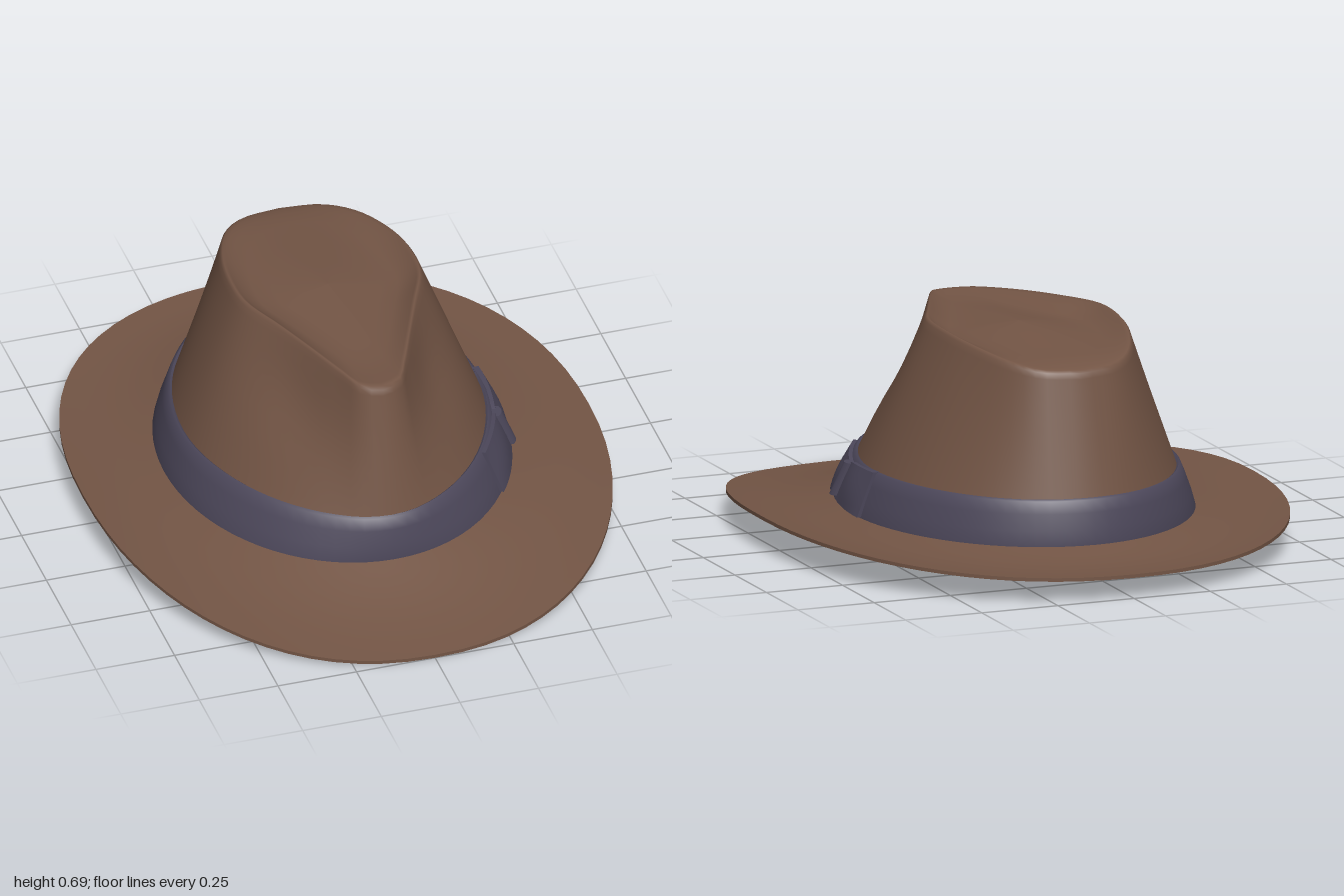
import * as THREE from 'three';
import { toCreasedNormals } from 'three/addons/utils/BufferGeometryUtils.js';

const SEG = 72;
const V = (x, y, z) => new THREE.Vector3(x, y, z);

// Half outline of the teardrop crown top, from the front tip to the back
const topHalf = new THREE.CatmullRomCurve3([
  [0, 0.475], [0.06, 0.455], [0.1, 0.38], [0.15, 0.27], [0.22, 0.11], [0.28, -0.03],
  [0.29, -0.13], [0.27, -0.3], [0.2, -0.48], [0.12, -0.56], [0, -0.585],
].map(([x, z]) => V(x, 0, z)));

// Angle a runs around the hat from the front (+z), negative towards +x
const basePoint = (a, y = 0.1) => V(-0.52 * Math.sin(a), y, -0.05 + 0.64 * Math.cos(a));

function topPoint(a) {
  const w = Math.atan2(Math.sin(a), Math.cos(a));
  const p = topHalf.getPointAt(Math.min(1, Math.abs(w) / Math.PI));
  const d = p.z + 0.05;
  const drop = d > 0 ? 0.04 * (d / 0.53) ** 2 : 0.072 * (d / 0.54) ** 2;
  return V(w > 0 ? -p.x : p.x, 0.69 - drop, p.z);
}

// Crown wall at height fraction t, pinched on both sides of the front
function wallPoint(a, t) {
  const p = basePoint(a).lerp(topPoint(a), t);
  const w = Math.abs(Math.atan2(Math.sin(a), Math.cos(a)));
  const pinch = 0.035 * Math.exp(-(((w - 0.75) / 0.35) ** 2)) * Math.exp(-(((t - 0.72) / 0.2) ** 2));
  p.x *= 1 - pinch * 1.6;
  p.z -= pinch * 0.5;
  return p;
}

// Crown wall at height y, moved outwards
function wallAt(a, y, offset) {
  const p = wallPoint(a, (y - 0.1) / (topPoint(a).y - 0.1));
  const out = V(-Math.sin(a) / 0.52, 0, Math.cos(a) / 0.64).normalize();
  return p.addScaledVector(out, offset);
}

// Dished crown top: s scales the outline, sink is the depth below the rim
function dishPoint(a, s, y, blend) {
  const p = topPoint(a);
  return V(p.x * s, THREE.MathUtils.lerp(p.y, y, blend), -0.08 + (p.z + 0.08) * s);
}

// Brim at fraction w from crown to edge
function brimPoint(a, w, down) {
  const pow = (v, e) => Math.sign(v) * Math.abs(v) ** e;
  const ez = pow(Math.cos(a), 0.91);
  const edgeY = 0.11 - (ez > 0 ? 0.099 : 0.035) * ez * ez;
  const edge = V(-0.805 * pow(Math.sin(a), 0.91), edgeY, ez);
  const p = basePoint(a, 0.105).lerp(edge, w);
  p.y -= 0.014 * Math.sin(Math.PI * w) + down;
  return p;
}

// Skin a list of ring functions, ordered from the top centre outwards
function loft(rings, crease) {
  const pos = [], index = [];
  rings.forEach((ring, j) => {
    for (let i = 0; i < SEG; i++) {
      pos.push(...ring((i / SEG) * Math.PI * 2).toArray());
      if (j === rings.length - 1) continue;
      const n = (i + 1) % SEG, a = j * SEG, b = a + SEG;
      // the angle runs from +z to -x, which is clockwise seen from below
      index.push(a + i, a + n, b + i, a + n, b + n, b + i);
    }
  });
  const g = new THREE.BufferGeometry();
  g.setAttribute('position', new THREE.Float32BufferAttribute(pos, 3));
  // flip corners so that faces point outwards
  for (let k = 0; k < index.length; k += 3) [index[k + 1], index[k + 2]] = [index[k + 2], index[k + 1]];
  g.setIndex(index);
  g.computeVertexNormals();
  return crease ? toCreasedNormals(g, crease) : g;
}

// Box wrapped around the band between two angles on the +x side
function wrapped(from, to, yMid, height, depth) {
  const g = new THREE.BoxGeometry(1, 1, 1, 10, 6, 1);
  const p = g.attributes.position;
  for (let i = 0; i < p.count; i++) {
    const u = p.getX(i) + 0.5, v = p.getY(i);
    const a = -(from + (to - from) * u);
    const y = yMid + v * height(u);
    const q = wallAt(a, y, p.getZ(i) > 0 ? depth(u, v) : 0.004);
    p.setXYZ(i, q.x, q.y, q.z);
  }
  g.computeVertexNormals();
  return g;
}

export function createModel() {
  const felt = new THREE.MeshStandardMaterial({ color: 0x735545, side: THREE.DoubleSide });
  felt.name = 'brown felt';
  const ribbon = new THREE.MeshStandardMaterial({ color: 0x4c475a, side: THREE.DoubleSide });
  ribbon.name = 'slate ribbon';

  const hat = new THREE.Group();
  hat.name = 'hat';
  const add = (name, geometry, material) => {
    const m = new THREE.Mesh(geometry, material);
    m.name = name;
    hat.add(m);
  };

  // Crown: domed dish, rounded rim, sloping wall
  const dish = [[0.001, 0.668, 1], [0.3, 0.66, 1], [0.55, 0.646, 1], [0.75, 0.642, 0.9],
    [0.88, 0.645, 0.55], [0.95, 0.645, 0.15], [0.985, 0.645, 0]];
  const walls = [0.985, 0.95, 0.88, 0.8, 0.7, 0.6, 0.5, 0.4, 0.3, 0.2, 0.1, 0];
  add('crown', loft([
    ...dish.map(([s, y, b]) => (a) => dishPoint(a, s, y, b)),
    ...walls.map((t) => (a) => wallPoint(a, t)),
  ]), felt);

  // Crown lining, just inside the crown
  const inset = (p) => V(p.x * 0.975, p.y - 0.012, -0.05 + (p.z + 0.05) * 0.975);
  add('crownLining', loft([
    ...walls.slice().reverse().map((t) => (a) => inset(wallPoint(a, t))),
    ...dish.slice().reverse().map(([s, y, b]) => (a) => inset(dishPoint(a, s, y, b))),
  ]), felt);

  // Brim: top face, thin edge and underside
  const steps = [0, 0.15, 0.3, 0.45, 0.6, 0.75, 0.9, 1];
  add('brim', loft([
    ...steps.map((w) => (a) => brimPoint(a, w, 0)),
    ...steps.slice().reverse().map((w) => (a) => brimPoint(a, w, 0.011)),
    (a) => inset(basePoint(a, 0.106)),
  ], 0.9), felt);

  // Ribbon band with a slightly rounded face
  const bandRows = [[0.238, 0], [0.243, 0.008], [0.238, 0.014], [0.2, 0.016], [0.15, 0.016], [0.11, 0.013], [0.096, 0.01]];
  add('band', loft(bandRows.map(([y, o]) => (a) => wallAt(a, y, o)), 0.9), ribbon);

  // Bow: two loops and a knot
  const puff = (u, v) => 0.026 + 0.008 * Math.sin(Math.PI * u) * Math.cos(Math.PI * v);
  add('bowFrontLoop', wrapped(0.876, 1.27, 0.175, (u) => 0.128 - 0.022 * u * u, puff), ribbon);
  add('bowBackLoop', wrapped(1.305, 1.66, 0.175, (u) => 0.106 + 0.03 * Math.sqrt(u), puff), ribbon);
  add('bowKnot', wrapped(1.245, 1.33, 0.178, () => 0.1, (u) => 0.036 + 0.008 * Math.sin(Math.PI * u)), ribbon);

  return hat;
}
